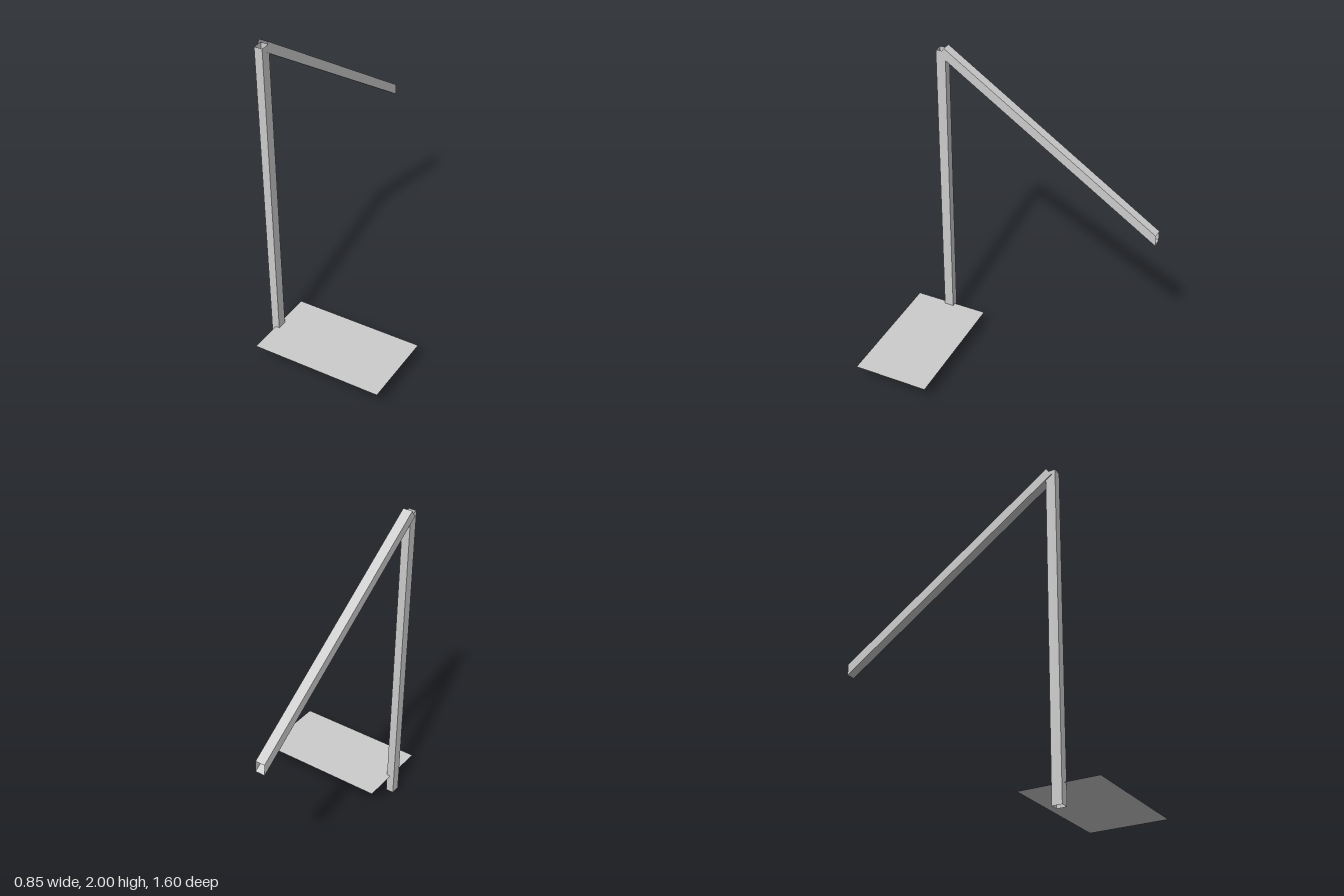
import * as THREE from 'three';

// Open four-sided sleeve joining two rings of four corners (counter-clockwise seen from the end ring)
function sleeve(start, end) {
  const positions = [];
  for (let i = 0; i < 4; i++) {
    const j = (i + 1) % 4;
    positions.push(...start[i], ...start[j], ...end[j], ...start[i], ...end[j], ...end[i]);
  }
  const geometry = new THREE.BufferGeometry();
  geometry.setAttribute('position', new THREE.Float32BufferAttribute(positions, 3));
  geometry.computeVertexNormals();
  return geometry;
}

export function createModel() {
  const model = new THREE.Group();
  const grey = new THREE.MeshStandardMaterial({ color: 0xcccccc, side: THREE.DoubleSide });
  grey.name = 'light grey';

  const add = (name, geometry, x = 0, y = 0, z = 0) => {
    const mesh = new THREE.Mesh(geometry, grey);
    mesh.name = name;
    mesh.position.set(x, y, z);
    model.add(mesh);
  };

  // Upright hollow post, open at both ends
  const postRing = (y) => [[-0.42, y, 0.596], [-0.37, y, 0.596], [-0.37, y, 0.536], [-0.42, y, 0.536]];
  add('post', sleeve(postRing(0), postRing(1.98)));

  // Sloping hollow arm: cut upright at its far end, square at its upper end
  const armRing = ([zLow, yLow], [zHigh, yHigh]) => [
    [-0.425, yLow, zLow], [-0.367, yLow, zLow], [-0.367, yHigh, zHigh], [-0.425, yHigh, zHigh],
  ];
  add('arm', sleeve(
    armRing([-0.8, 1.037], [-0.8, 1.105]),
    armRing([0.575, 1.953], [0.543, 2.0]),
  ));

  // Thin flat panel and the tiny square patch on it
  const sheet = (width, depth) => new THREE.PlaneGeometry(width, depth).rotateX(-Math.PI / 2);
  add('panel', sheet(0.815, 0.478), 0.0125, 0.123, 0.56);
  add('panelPatch', sheet(0.014, 0.014), -0.32, 0.126, 0.425);

  return model;
}
